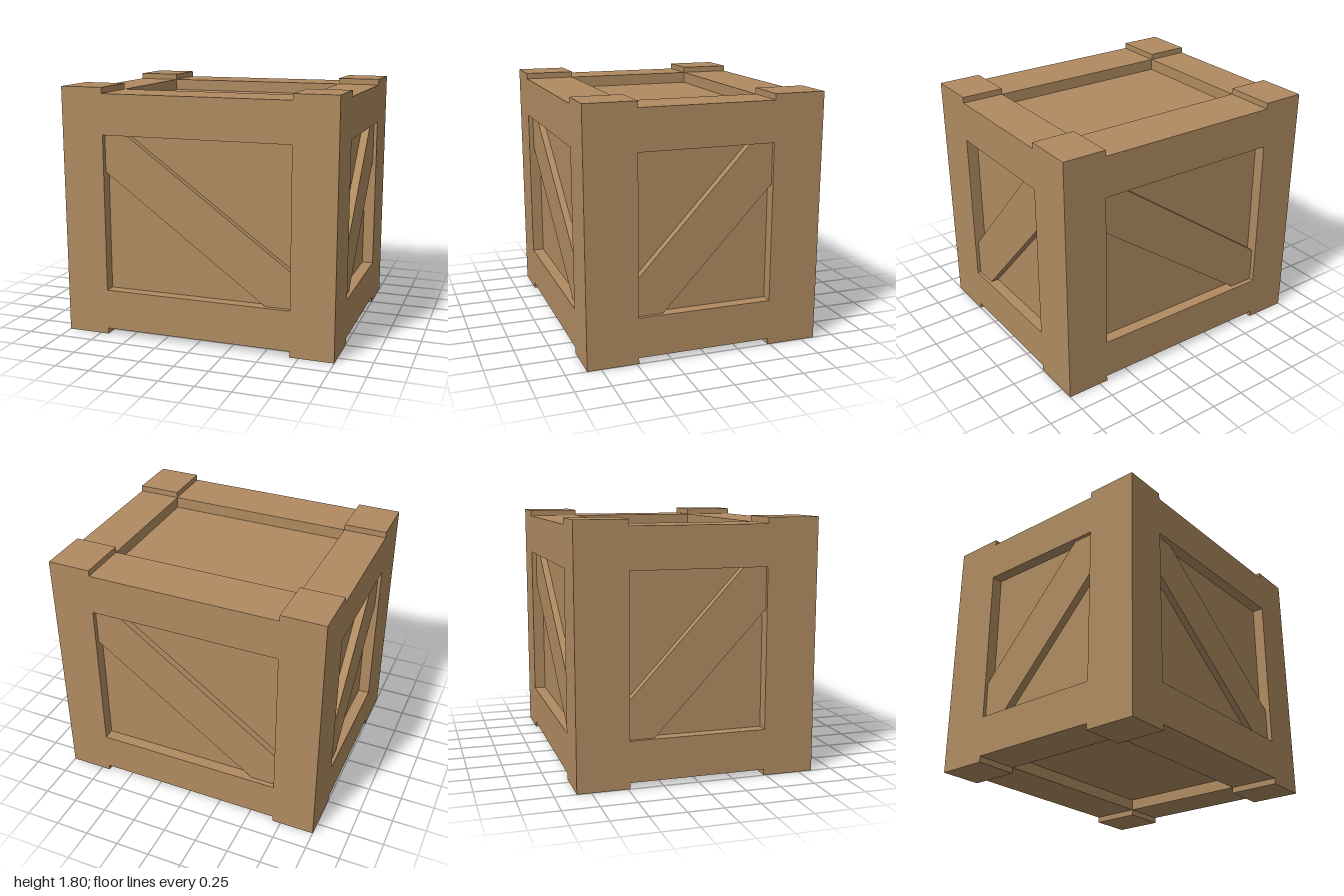
import * as THREE from 'three';

// Crate dimensions: half width, height, half depth
const HX = 1, H = 1.8, HZ = 0.85;
// Inner half extents of the framed openings
const IX = 0.687, IZ = 0.484;
// Rail heights and panel recess
const RAIL_BOTTOM = 0.043, RAIL_HEIGHT = 0.29, RECESS = 0.083;

export function createModel() {
  const crate = new THREE.Group();
  crate.name = 'crate';
  const wood = new THREE.MeshStandardMaterial({ color: 0xb08b61 });
  wood.name = 'wood';

  const add = (name, geometry) => {
    const mesh = new THREE.Mesh(geometry, wood);
    mesh.name = name;
    crate.add(mesh);
    return mesh;
  };
  const box = (name, w, h, d, x, y, z) =>
    add(name, new THREE.BoxGeometry(w, h, d)).position.set(x, y, z);

  // Recessed panels on all six sides
  const coreBottom = RAIL_BOTTOM + RECESS;
  box('panels', 2 * (HX - RECESS), H - 2 * coreBottom, 2 * (HZ - RECESS), 0, H / 2, 0);

  // Corner posts, standing proud of the rails above and below
  const postW = HX - IX, postD = HZ - IZ;
  for (const sx of [-1, 1])
    for (const sz of [-1, 1])
      box('cornerPost', postW, H, postD, sx * (HX + IX) / 2, H / 2, sz * (HZ + IZ) / 2);

  // Top and bottom rails between the posts
  const railY = RAIL_BOTTOM + RAIL_HEIGHT / 2;
  for (const y of [railY, H - railY])
    for (const s of [-1, 1]) {
      box('longRail', 2 * IX, RAIL_HEIGHT, postD, 0, y, s * (HZ + IZ) / 2);
      box('sideRail', postW, RAIL_HEIGHT, 2 * IZ, s * (HX + IX) / 2, y, 0);
    }

  // Diagonal braces, cut to the corners of each opening
  const low = RAIL_BOTTOM + RAIL_HEIGHT, high = H - low;
  const longBrace = [[-IX, high], [-IX, 1.2], [0.5, low], [IX, low], [IX, 0.59], [-0.52, high]];
  const sideBrace = [[-IZ, low], [-0.305, low], [IZ, 1.175], [IZ, high], [0.32, high], [-IZ, 0.6]];
  const brace = (name, points, face, inset, angle) => {
    const shape = new THREE.Shape(points.map(([x, y]) => new THREE.Vector2(x, y)));
    const geometry = new THREE.ExtrudeGeometry(shape, { depth: RECESS - inset, bevelEnabled: false });
    geometry.translate(0, 0, face - RECESS);
    add(name, geometry).rotation.y = angle;
  };
  brace('frontBrace', longBrace, HZ, 0.035, 0);
  brace('backBrace', longBrace, HZ, 0.035, Math.PI);
  brace('leftBrace', sideBrace, HX, 0.025, Math.PI / 2);
  brace('rightBrace', sideBrace, HX, 0.025, -Math.PI / 2);

  return crate;
}
